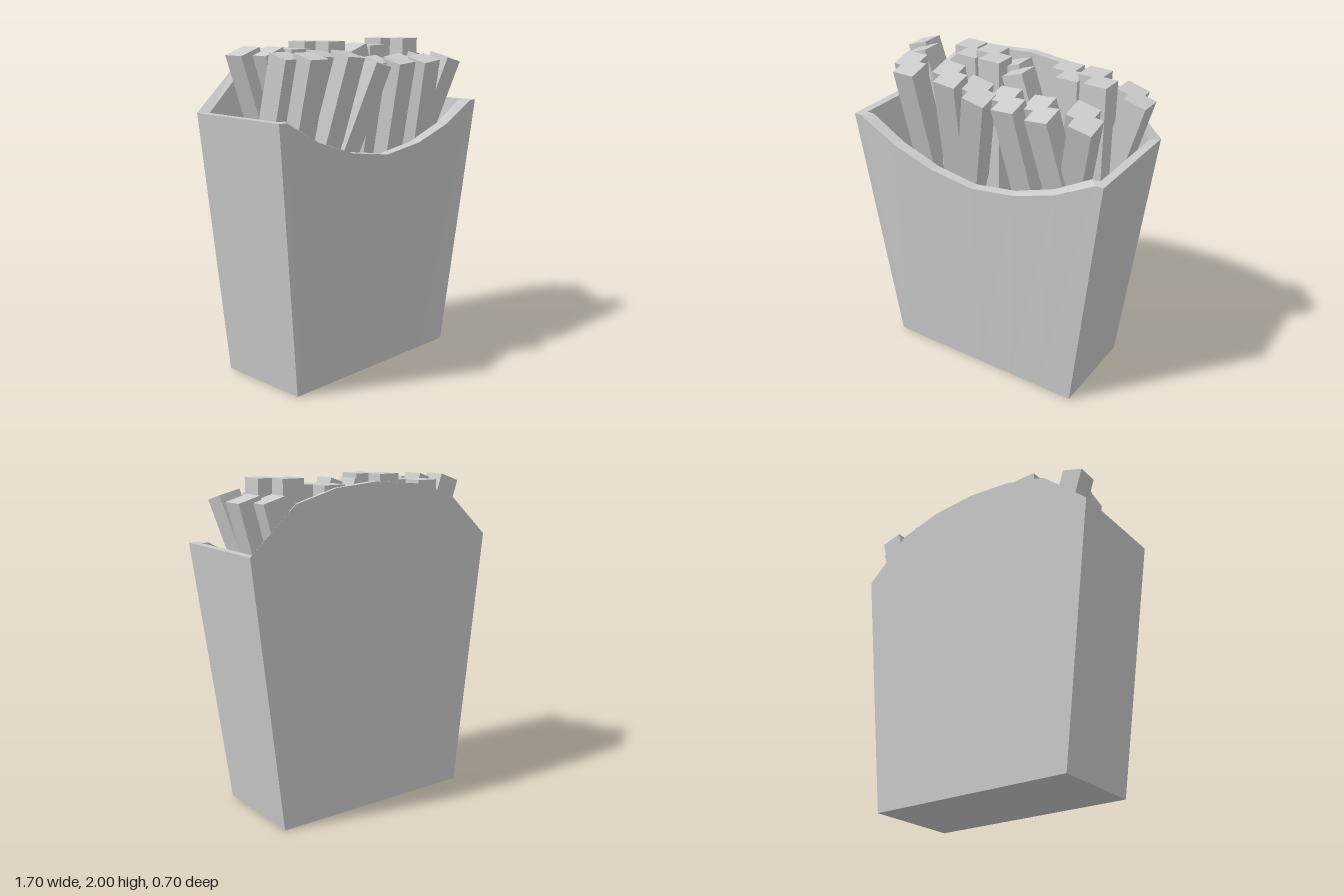
import * as THREE from 'three';

const material = new THREE.MeshStandardMaterial({ color: 0xcccccc, flatShading: true });

// Half of each rim, from corner to middle: [x, height]
const FRONT_RIM = [[0.85, 1.61], [0.8, 1.61], [0.56, 1.48], [0.29, 1.39], [0, 1.35]];
const BACK_RIM = [[0.85, 1.61], [0.56, 1.87], [0.29, 1.945], [0, 1.97]];

// Mirrors half a rim into a full run from -x to +x
function fullRim(half) {
  return [...half.map(([x, y]) => [-x, y]), ...half.slice(0, -1).reverse()];
}

// Tapered carton: a closed skin running outer base, outer rim, inner rim, inner floor
function cartonGeometry() {
  const front = fullRim(FRONT_RIM);
  const back = fullRim(BACK_RIM).reverse();
  const loop = (xScale, zFront, zBack, y) => [
    ...front.map(([x, h]) => [x * xScale, y ?? h, zFront]),
    ...back.map(([x, h]) => [x * xScale, y ?? h, zBack]),
  ];
  const rings = [
    loop(0.66 / 0.85, 0.26, -0.35, 0),
    loop(1, 0.35, -0.35),
    loop(0.94, 0.29, -0.3),
    loop(0.73, 0.2, -0.3, 0.05),
  ];
  const n = rings[0].length;
  const positions = [];
  const triangle = (a, b, c) => positions.push(...a, ...b, ...c);

  for (let i = 0; i < n; i++) {
    const j = (i + 1) % n;
    for (let r = 0; r < 3; r++) {
      const lower = rings[r], upper = rings[r + 1];
      triangle(lower[i], lower[j], upper[j]);
      triangle(lower[i], upper[j], upper[i]);
    }
    triangle([0, 0, -0.05], rings[0][j], rings[0][i]);
    triangle([0, 0.05, -0.05], rings[3][i], rings[3][j]);
  }
  const geometry = new THREE.BufferGeometry();
  geometry.setAttribute('position', new THREE.Float32BufferAttribute(positions, 3));
  geometry.computeVertexNormals();
  return geometry;
}

// Fries: [x, y, z of the top centre, lean forward, lean to +x]
const BACK_FRIES = [
  [-0.40, 1.96, -0.25, 0, 0],
  [-0.31, 1.96, -0.13, 0, 0],
  [-0.18, 2.00, -0.16, 0, 0],
  [-0.09, 2.00, -0.05, 0, 0],
  [0.28, 1.96, -0.25, 0, 0],
  [0.37, 1.96, -0.14, 0, 0],
  [0.50, 2.00, -0.17, 0, 0],
  [0.59, 2.00, -0.06, 0, 0],
  [-0.68, 1.96, -0.14, 0, -0.33],
  [-0.60, 1.96, -0.03, 0, -0.33],
  [-0.01, 1.96, -0.14, 0, -0.33],
  [0.08, 1.96, -0.03, 0, -0.33],
  [0.69, 1.90, -0.275, 0, 0.27],
  [0.78, 1.90, -0.17, 0, 0.27],
];
const FRONT_FRIES = [
  [-0.58, 1.94, 0.12, 0.25, 0],
  [-0.50, 1.94, 0.23, 0.25, 0],
  [-0.30, 1.94, 0.12, 0.25, 0.1],
  [-0.21, 1.94, 0.23, 0.25, 0.1],
  [-0.09, 1.89, 0.14, 0.25, 0.25],
  [0.00, 1.89, 0.25, 0.25, 0.25],
  [0.11, 1.89, 0.15, 0.25, -0.08],
  [0.20, 1.89, 0.26, 0.25, -0.08],
  [0.33, 1.89, 0.15, 0.25, -0.12],
  [0.42, 1.89, 0.27, 0.25, -0.12],
  [0.59, 1.89, 0.12, 0.25, 0.23],
  [0.67, 1.89, 0.24, 0.25, 0.23],
];

function fryGroup(name, list) {
  const group = new THREE.Group();
  group.name = name;
  // Origin at the top end, so each fry hangs down into the carton
  const geometry = new THREE.BoxGeometry(0.14, 1.3, 0.14).translate(0, -0.65, 0);
  for (const [x, y, z, forward, sideways] of list) {
    const fry = new THREE.Mesh(geometry, material);
    fry.name = 'fry';
    fry.position.set(x, y, z);
    fry.rotation.set(forward, 0, -sideways);
    group.add(fry);
  }
  return group;
}

export function createModel() {
  const model = new THREE.Group();
  model.name = 'cartonOfFries';
  const carton = new THREE.Mesh(cartonGeometry(), material);
  carton.name = 'carton';
  model.add(carton, fryGroup('backFries', BACK_FRIES), fryGroup('frontFries', FRONT_FRIES));
  return model;
}
